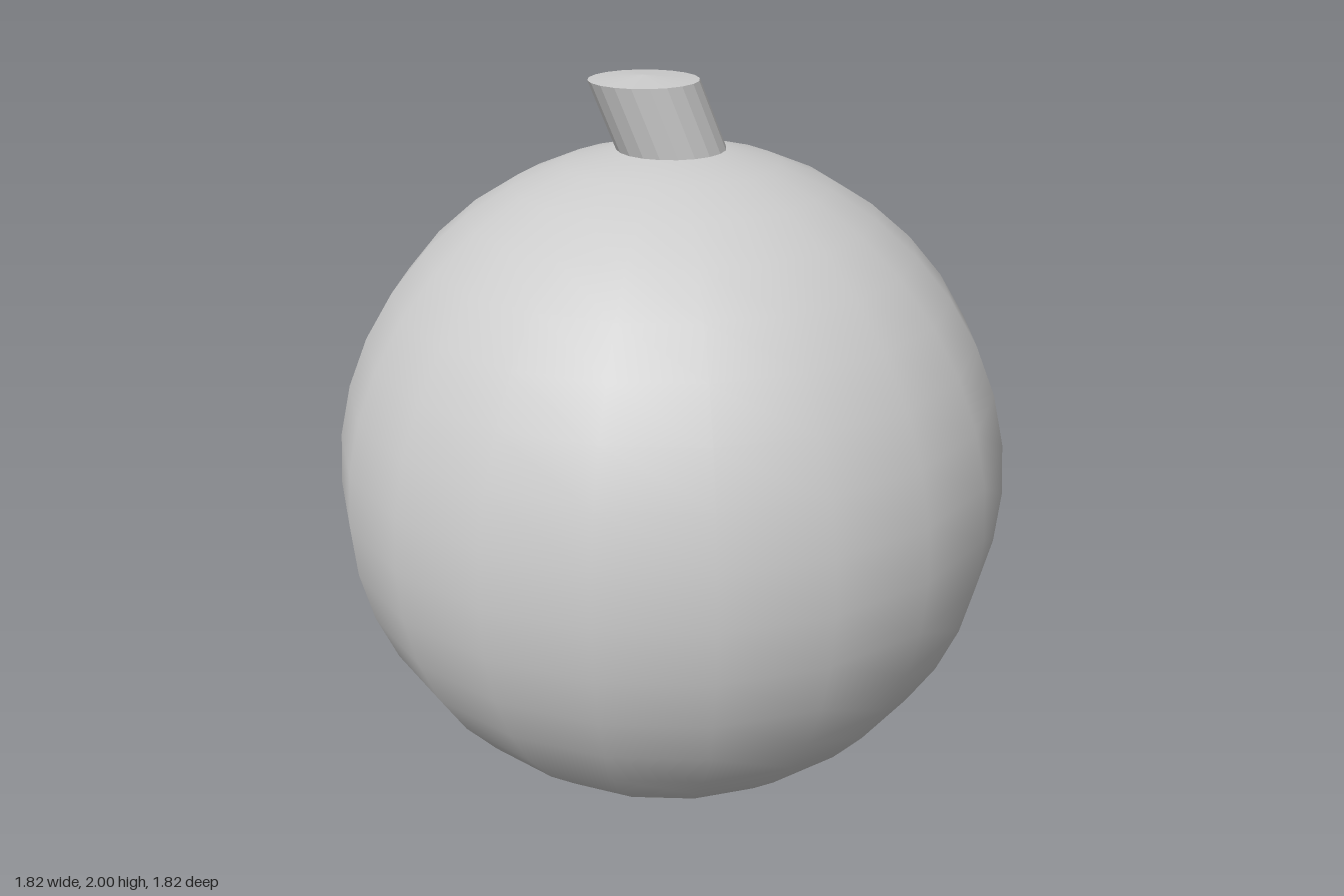
import * as THREE from 'three';

const SIDES = 20, RINGS = 20, R = 0.912;
const STEP = Math.PI / RINGS;

export function createModel() {
  const model = new THREE.Group();
  model.name = 'bauble';

  // Smooth round body, left open at the top ring where the stem grows out
  const body = new THREE.Mesh(
    new THREE.SphereGeometry(R, SIDES, RINGS - 1, 0, Math.PI * 2, STEP, Math.PI - STEP),
    new THREE.MeshStandardMaterial({ color: 0xcccccc })
  );
  body.name = 'body';
  body.position.y = R;
  model.add(body);

  // Leaning faceted stem: a capped tube sheared towards -x, with a slightly domed top
  const r = R * Math.sin(STEP);
  const base = R + R * Math.cos(STEP);
  const dome = R - R * Math.cos(STEP);
  const height = 2 - dome - base;
  const profile = [[r, 0], [r, height], [0, height + dome]].map(([x, y]) => new THREE.Vector2(x, y));
  const geometry = new THREE.LatheGeometry(profile, SIDES).toNonIndexed();
  const pos = geometry.attributes.position;
  for (let i = 0; i < pos.count; i++) {
    pos.setX(i, pos.getX(i) - 0.07 * Math.min(pos.getY(i) / height, 1));
  }
  geometry.computeVertexNormals();
  const stem = new THREE.Mesh(
    geometry,
    new THREE.MeshStandardMaterial({ color: 0xcccccc, flatShading: true })
  );
  stem.name = 'stem';
  stem.position.y = base;
  model.add(stem);

  return model;
}
